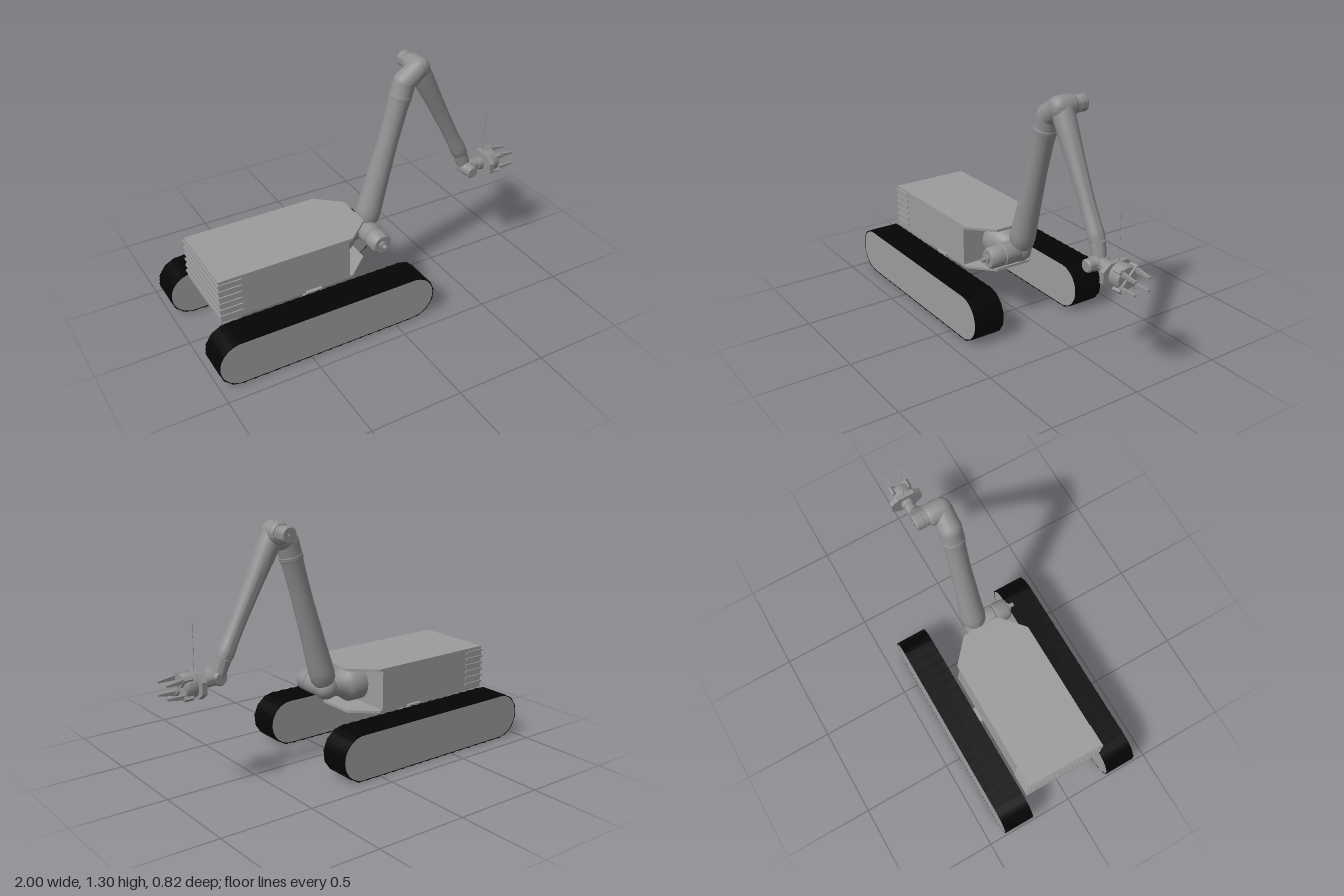
import * as THREE from 'three';
import { toCreasedNormals } from 'three/addons/utils/BufferGeometryUtils.js';

const grey = new THREE.MeshStandardMaterial({ color: 0x9c9c9c, side: THREE.DoubleSide });
const armGrey = new THREE.MeshStandardMaterial({ color: 0x909090, side: THREE.DoubleSide });
const black = new THREE.MeshStandardMaterial({ color: 0x040404 });
const V = (x, y, z = 0) => new THREE.Vector3(x, y, z);
const UP = V(0, 1, 0);

function add(parent, name, geo, pos = V(0, 0, 0), mat = grey) {
  const mesh = new THREE.Mesh(geo, mat);
  mesh.name = name;
  mesh.position.copy(pos);
  parent.add(mesh);
  return mesh;
}

const box = (parent, name, w, h, d, pos, mat) =>
  add(parent, name, new THREE.BoxGeometry(w, h, d), pos, mat);

// Turned part between two points; profile rows are [fraction along, radius]
function turned(parent, name, a, b, profile, sides = 32) {
  const axis = b.clone().sub(a);
  const len = axis.length();
  const pts = profile.map(([t, r]) => new THREE.Vector2(r, t * len));
  pts.unshift(new THREE.Vector2(0, pts[0].y));
  pts.push(new THREE.Vector2(0, pts[pts.length - 1].y));
  const mesh = add(parent, name, toCreasedNormals(new THREE.LatheGeometry(pts, sides), 0.6), a, armGrey);
  mesh.quaternion.setFromUnitVectors(UP, axis.normalize());
  return mesh;
}

const ball = (parent, name, pos, r) => add(parent, name, new THREE.SphereGeometry(r, 28, 20), pos, armGrey);

// Stadium outline around the two track wheels
const X0 = -0.873, X1 = 0.108, CY = 0.128;
function stadium(r, Type = THREE.Shape) {
  const s = new Type();
  s.moveTo(X0, CY - r);
  s.lineTo(X1, CY - r);
  s.absarc(X1, CY, r, -Math.PI / 2, Math.PI / 2, false);
  s.lineTo(X0, CY + r);
  s.absarc(X0, CY, r, Math.PI / 2, Math.PI * 1.5, false);
  return s;
}
const extrude = (shape, depth) =>
  new THREE.ExtrudeGeometry(shape, { depth, bevelEnabled: false, curveSegments: 14 });

function makeTrack(side) {
  const track = new THREE.Group();
  track.name = side > 0 ? 'frontTrack' : 'rearTrack';
  const z = side > 0 ? 0.237 : -0.409;
  add(track, 'trackSidePanel', extrude(stadium(0.121), 0.172), V(0, 0, z));
  const belt = stadium(0.125);
  belt.holes.push(stadium(0.1205, THREE.Path));
  add(track, 'trackBelt', extrude(belt, 0.172), V(0, 0, z), black);
  // tread bars spread along the belt
  const path = stadium(0.1245);
  path.closePath();
  const n = 46;
  for (let i = 0; i < n; i++) {
    const p = path.getPointAt(i / n);
    const t = path.getTangentAt(i / n);
    const bar = box(track, 'treadBar', 0.022, 0.006, 0.172, V(p.x, p.y, z + 0.086), black);
    bar.rotation.z = Math.atan2(t.y, t.x);
  }
  return track;
}

function makeBody() {
  const body = new THREE.Group();
  body.name = 'body';
  box(body, 'hull', 0.727, 0.24, 0.44, V(-0.5335, 0.375, 0));
  // roof and floor plates with a tapered nose
  for (const y of [0.252, 0.482]) {
    const s = new THREE.Shape([[-0.897, -0.22], [-0.15, -0.22], [-0.02, -0.105], [-0.02, 0.105],
      [-0.15, 0.22], [-0.897, 0.22]].map(([x, z]) => new THREE.Vector2(x, z)));
    const plate = add(body, y > 0.4 ? 'roofPlate' : 'floorPlate', extrude(s, 0.014), V(0, y, 0));
    plate.rotation.x = -Math.PI / 2;
  }
  // louvre slats wrapped around the tail
  for (let i = 0; i < 6; i++) {
    const y = 0.288 + i * 0.037;
    box(body, 'louvreBack', 0.012, 0.012, 0.454, V(-0.897, y, 0));
    for (const s of [-1, 1]) box(body, 'louvreSide', 0.125, 0.012, 0.012, V(-0.838, y, s * 0.221));
  }
  // arched cross member carrying the tracks
  const arch = new THREE.Shape();
  arch.moveTo(-0.237, 0.208);
  arch.lineTo(-0.135, 0.208);
  arch.lineTo(-0.135, 0.222);
  arch.quadraticCurveTo(-0.115, 0.244, -0.08, 0.246);
  arch.lineTo(0.08, 0.246);
  arch.quadraticCurveTo(0.115, 0.244, 0.135, 0.222);
  arch.lineTo(0.135, 0.208);
  arch.lineTo(0.237, 0.208);
  arch.lineTo(0.237, 0.264);
  arch.lineTo(-0.237, 0.264);
  const beam = add(body, 'crossMember', extrude(arch, 0.085), V(-0.428, 0, 0));
  beam.rotation.y = Math.PI / 2;
  return body;
}

function makeArm() {
  const arm = new THREE.Group();
  arm.name = 'arm';
  const shoulder = V(0.04, 0.378), elbow = V(0.366, 1.245), bend = V(0.28, 1.185), wrist = V(0.698, 0.563);

  // base flange flaring onto the hull
  turned(arm, 'armBase', V(-0.172, 0.375), V(0.04, 0.378),
    [[0, 0.098], [0.38, 0.098], [0.48, 0.085], [0.62, 0.064], [0.74, 0.056], [1, 0.056]]);

  // shoulder joint and its motor
  ball(arm, 'shoulderBall', shoulder, 0.064);
  turned(arm, 'shoulderMotor', V(0.04, 0.378, -0.02), V(0.04, 0.378, 0.205),
    [[0, 0.05], [0.1, 0.06], [0.6, 0.06], [0.62, 0.054], [0.65, 0.054], [0.67, 0.06], [0.93, 0.058], [1, 0.048]]);
  turned(arm, 'shoulderKnob', V(0.04, 0.378, 0.2), V(0.04, 0.378, 0.243),
    [[0, 0.022], [0.4, 0.022], [0.42, 0.012], [1, 0.012]], 16);

  // upper arm with end collars
  turned(arm, 'upperArm', V(0.05, 0.4), bend,
    [[0, 0.05], [0.04, 0.066], [0.1, 0.069], [0.14, 0.067], [0.3, 0.062], [0.6, 0.055],
      [0.82, 0.056], [0.89, 0.06], [0.893, 0.062], [0.915, 0.062], [0.918, 0.06], [1, 0.06]]);

  // elbow
  ball(arm, 'elbowBend', bend, 0.06);
  turned(arm, 'elbowLink', bend, elbow, [[0, 0.06], [1, 0.056]]);
  turned(arm, 'elbowHub', V(0.366, 1.245, 0.052), V(0.366, 1.245, -0.08),
    [[0, 0.02], [0.05, 0.036], [0.14, 0.048], [0.28, 0.056], [0.4, 0.057], [0.88, 0.057], [0.95, 0.054], [1, 0.048]]);
  turned(arm, 'elbowMotor', V(0.366, 1.245, -0.075), V(0.366, 1.245, -0.15),
    [[0, 0.044], [0.3, 0.044], [0.32, 0.041], [0.38, 0.041], [0.4, 0.044], [0.9, 0.044], [1, 0.038]]);
  turned(arm, 'elbowKnob', V(0.366, 1.245, -0.145), V(0.366, 1.245, -0.158), [[0, 0.009], [1, 0.009]], 12);

  // forearm
  const foreEnd = V(0.668, 0.655, -0.008);
  turned(arm, 'forearm', V(0.366, 1.245, -0.012), foreEnd,
    [[0, 0.057], [0.1, 0.057], [0.2, 0.054], [0.38, 0.047], [0.7, 0.04], [0.88, 0.041], [0.92, 0.044],
      [0.97, 0.044], [1, 0.04]]);
  turned(arm, 'forearmNeck', foreEnd, wrist, [[0, 0.04], [0.4, 0.038], [1, 0.034]]);

  // wrist joint and its motor
  turned(arm, 'wristHub', V(0.698, 0.563, -0.035), V(0.698, 0.563, 0.045),
    [[0, 0.03], [0.12, 0.038], [0.9, 0.038], [1, 0.034]]);
  turned(arm, 'wristMotor', V(0.698, 0.563, 0.04), V(0.698, 0.563, 0.086),
    [[0, 0.034], [0.85, 0.034], [1, 0.028]]);
  turned(arm, 'wristLink', V(0.7, 0.561), V(0.815, 0.555),
    [[0, 0.034], [0.7, 0.033], [0.72, 0.038], [1, 0.038]]);
  return arm;
}

function makeGripper() {
  const g = new THREE.Group();
  g.name = 'gripper';
  g.position.set(0.8, 0.555, 0);
  // wide eight-sided mounting plate
  const s = new THREE.Shape([[-0.094, -0.03], [-0.05, -0.064], [0.05, -0.064], [0.094, -0.03],
    [0.094, 0.03], [0.05, 0.064], [-0.05, 0.064], [-0.094, 0.03]].map(([a, b]) => new THREE.Vector2(a, b)));
  const plate = add(g, 'mountPlate', extrude(s, 0.028), V(0.01, 0, 0), armGrey);
  plate.rotation.y = Math.PI / 2;
  turned(g, 'palm', V(0.035, 0, 0), V(0.1, 0, 0), [[0, 0.064], [0.8, 0.064], [1, 0.056]], 24);
  // diagonal knuckles, each with a stepped finger
  for (const sy of [-1, 1]) for (const sz of [-1, 1]) {
    const knuckle = box(g, 'knuckle', 0.05, 0.07, 0.022, V(0.087, sy * 0.03, sz * 0.03), armGrey);
    knuckle.rotation.x = sy * sz * Math.PI / 4;
    const f = new THREE.Shape([[0.08, 0.028], [0.12, 0.028], [0.2, 0.028], [0.2, 0.038], [0.145, 0.046],
      [0.08, 0.056]].map(([x, y]) => new THREE.Vector2(x, sy * y)));
    add(g, 'finger', extrude(f, 0.016), V(0, 0, sz * 0.042 - 0.008), armGrey);
  }
  // thin broken mast
  for (const [y, h] of [[0.085, 0.05], [0.125, 0.012], [0.165, 0.05], [0.205, 0.012], [0.265, 0.08]]) {
    add(g, 'mast', new THREE.CylinderGeometry(0.0015, 0.0015, h, 6), V(0.03, y, -0.004), armGrey);
  }
  return g;
}

export function createModel() {
  const model = new THREE.Group();
  model.name = 'trackedArmRobot';
  model.add(makeTrack(1), makeTrack(-1), makeBody(), makeArm(), makeGripper());
  return model;
}
